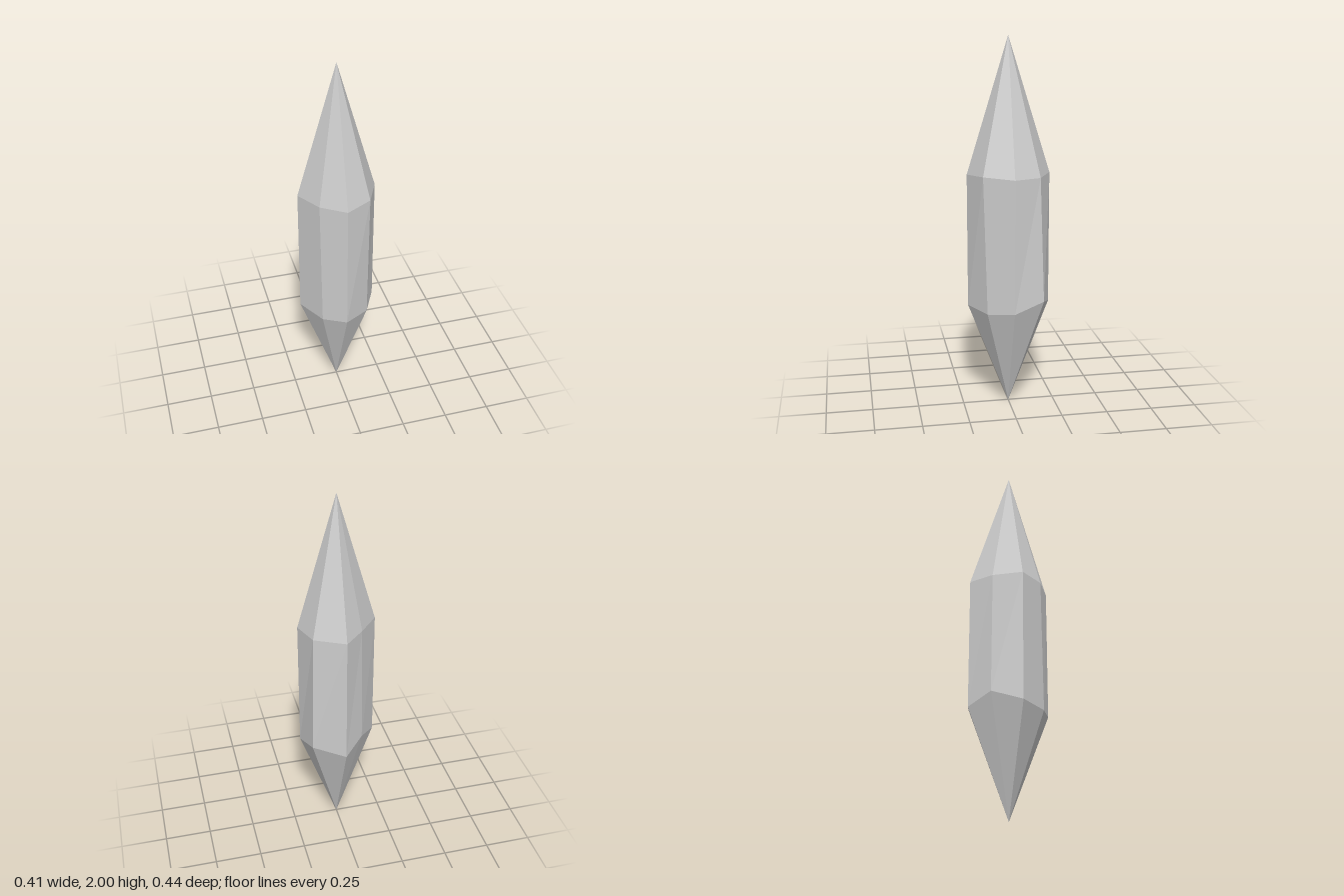
import * as THREE from 'three';

// Irregular eight-sided rings [x, y, z], counter-clockwise from the front
const upperRing = [
  [0, 1.286, 0.22], [0.136, 1.295, 0.154], [0.207, 1.286, 0], [0.157, 1.286, -0.142],
  [0, 1.286, -0.222], [-0.102, 1.295, -0.131], [-0.207, 1.286, 0], [-0.125, 1.286, 0.135],
];
const lowerRing = [
  [0, 0.57, 0.22], [0.137, 0.556, 0.134], [0.207, 0.57, 0], [0.172, 0.622, -0.162],
  [0, 0.57, -0.222], [-0.108, 0.63, -0.137], [-0.207, 0.57, 0], [-0.117, 0.56, 0.147],
];
const topTip = [0, 2, 0];
const bottomTip = [0, 0, 0];

function facetMesh(name, triangles, material) {
  const geometry = new THREE.BufferGeometry();
  geometry.setAttribute('position', new THREE.Float32BufferAttribute(triangles.flat(2), 3));
  geometry.computeVertexNormals();
  const mesh = new THREE.Mesh(geometry, material);
  mesh.name = name;
  return mesh;
}

export function createModel() {
  const crystal = new THREE.Group();
  crystal.name = 'crystal';
  const material = new THREE.MeshStandardMaterial({ color: 0xcccccc, flatShading: true });

  const upper = [], body = [], lower = [];
  for (let i = 0; i < 8; i++) {
    const j = (i + 1) % 8;
    upper.push([topTip, upperRing[i], upperRing[j]]);
    body.push([upperRing[i], lowerRing[i], upperRing[j]], [lowerRing[i], lowerRing[j], upperRing[j]]);
    lower.push([bottomTip, lowerRing[j], lowerRing[i]]);
  }

  // Long upper point, faceted shaft and shorter lower point
  crystal.add(
    facetMesh('upperPoint', upper, material),
    facetMesh('shaft', body, material),
    facetMesh('lowerPoint', lower, material),
  );
  return crystal;
}
